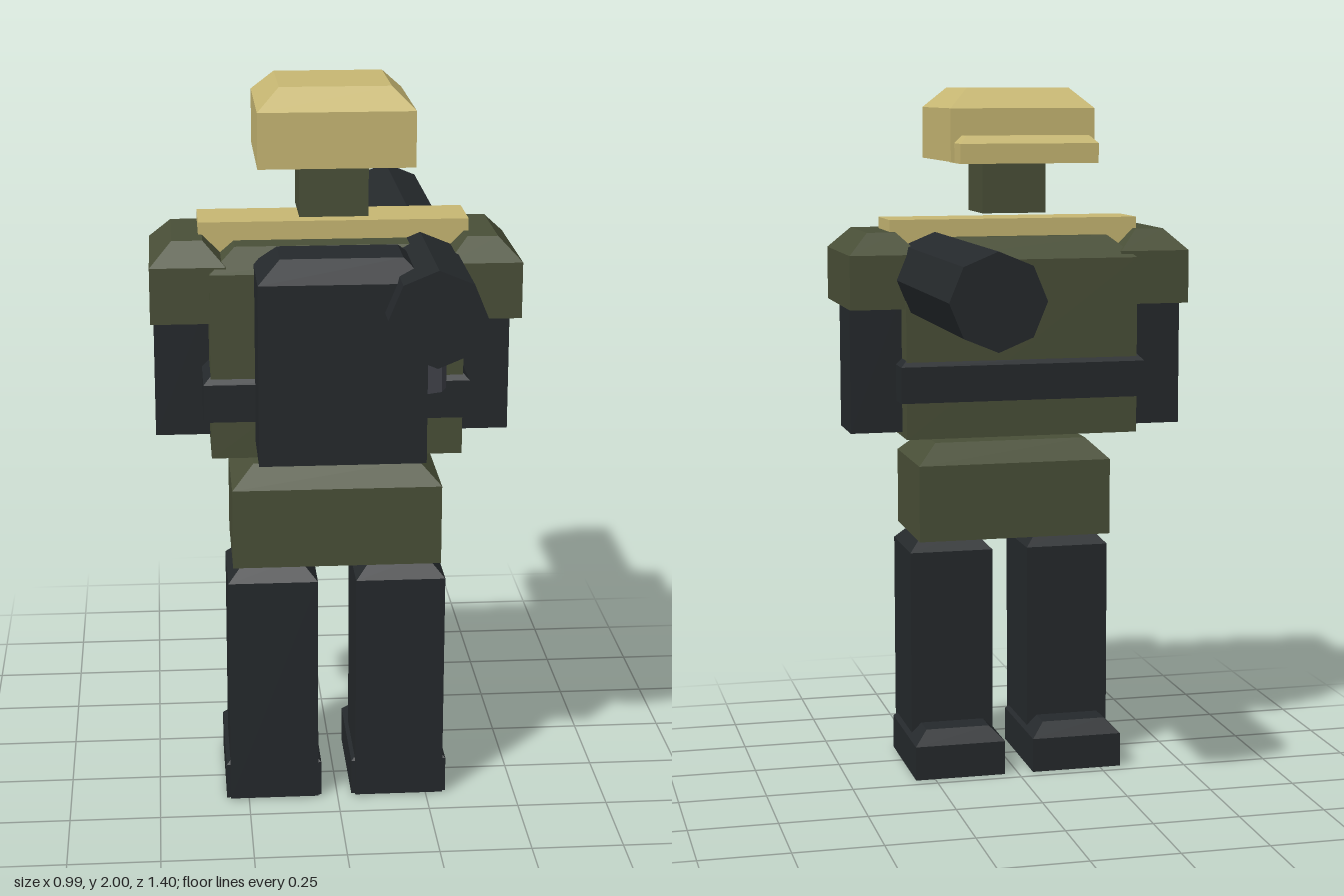
import * as THREE from 'three';

const paint = (color) => new THREE.MeshStandardMaterial({ color, flatShading: true, side: THREE.DoubleSide });

// Box given by its min/max extents, with the top edge bevelled inwards by `inset` over height `drop`.
function bevelBox(x, y, z, inset = 0, drop = 0, openBottom = false) {
  const ring = (h, i) => [
    [x[0] + i, h, z[1] - i], [x[1] - i, h, z[1] - i],
    [x[1] - i, h, z[0] + i], [x[0] + i, h, z[0] + i],
  ];
  const rings = [ring(y[0], 0)];
  if (drop > 0) rings.push(ring(y[1] - drop, 0));
  rings.push(ring(y[1], inset));

  const pos = [];
  const quad = (a, b, c, d) => pos.push(...a, ...b, ...c, ...a, ...c, ...d);
  for (let r = 0; r < rings.length - 1; r++) {
    for (let i = 0; i < 4; i++) {
      const j = (i + 1) % 4;
      quad(rings[r][i], rings[r][j], rings[r + 1][j], rings[r + 1][i]);
    }
  }
  quad(...rings[rings.length - 1]);
  if (!openBottom) quad(...[...rings[0]].reverse());

  const geometry = new THREE.BufferGeometry();
  geometry.setAttribute('position', new THREE.Float32BufferAttribute(pos, 3));
  geometry.computeVertexNormals();
  return geometry;
}

export function createModel() {
  const model = new THREE.Group();
  model.name = 'soldierFigure';

  const olive = paint(0x4a5038);
  const dark = paint(0x25292c);
  const tan = paint(0xc9b974);
  const grey = paint(0x4b4d55);

  const add = (name, geometry, material) => {
    const mesh = new THREE.Mesh(geometry, material);
    mesh.name = name;
    model.add(mesh);
    return mesh;
  };

  // Head, open helmet shell and its brim
  add('head', bevelBox([-0.095, 0.09], [1.645, 1.86], [0.095, 0.28]), olive);
  add('helmet', bevelBox([-0.21, 0.205], [1.795, 2], [-0.01, 0.385], 0.06, 0.057, true), tan);
  add('helmetBrim', bevelBox([-0.2, 0.195], [1.792, 1.868], [-0.092, 0.05], 0.021, 0.021, true), tan);

  // Trunk
  add('collar', bevelBox([-0.365, 0.362], [1.54, 1.63], [0.09, 0.26]), tan);
  add('torso', bevelBox([-0.34, 0.335], [1.015, 1.58], [-0.01, 0.405], 0.07, 0.06), olive);
  add('belt', bevelBox([-0.36, 0.352], [1.12, 1.243], [-0.022, 0.418], 0.02, 0.02), dark);
  add('pelvis', bevelBox([-0.287, 0.283], [0.7, 0.98], [0.078, 0.412], 0.06, 0.058), olive);

  // Mirrored limbs
  for (const [side, s] of [['left', 1], ['right', -1]]) {
    const span = (a, b) => (s > 0 ? [a, b] : [-b - 0.005, -a - 0.005]);
    add(side + 'Shoulder', bevelBox(span(0.29, 0.492), [1.385, 1.597], [0, 0.39], 0.06, 0.06), olive);
    add(side + 'Arm', bevelBox(span(0.325, 0.484), [1.028, 1.44], [0.06, 0.23]), dark);
    add(side + 'Leg', bevelBox(span(0.05, 0.296), [0.005, 0.705], [0.155, 0.41], 0.05, 0.052), dark);
    add(side + 'Boot', bevelBox(span(0.04, 0.307), [0, 0.14], [0.038, 0.392], 0.04, 0.04), dark);
  }

  // Backpack
  add('backpack', bevelBox([-0.222, 0.215], [1.06, 1.597], [0.35, 0.617], 0.06, 0.055), dark);

  // Shoulder launcher with its grip
  const tube = add('launcherTube', new THREE.CylinderGeometry(0.128, 0.128, 1.396, 8), dark);
  tube.rotation.x = Math.PI / 2;
  tube.position.set(0.231, 1.467, 0);
  const grip = add('launcherGrip', new THREE.CylinderGeometry(0.057, 0.057, 0.2, 8), grey);
  grip.position.set(0.231, 1.305, 0.42);

  return model;
}
